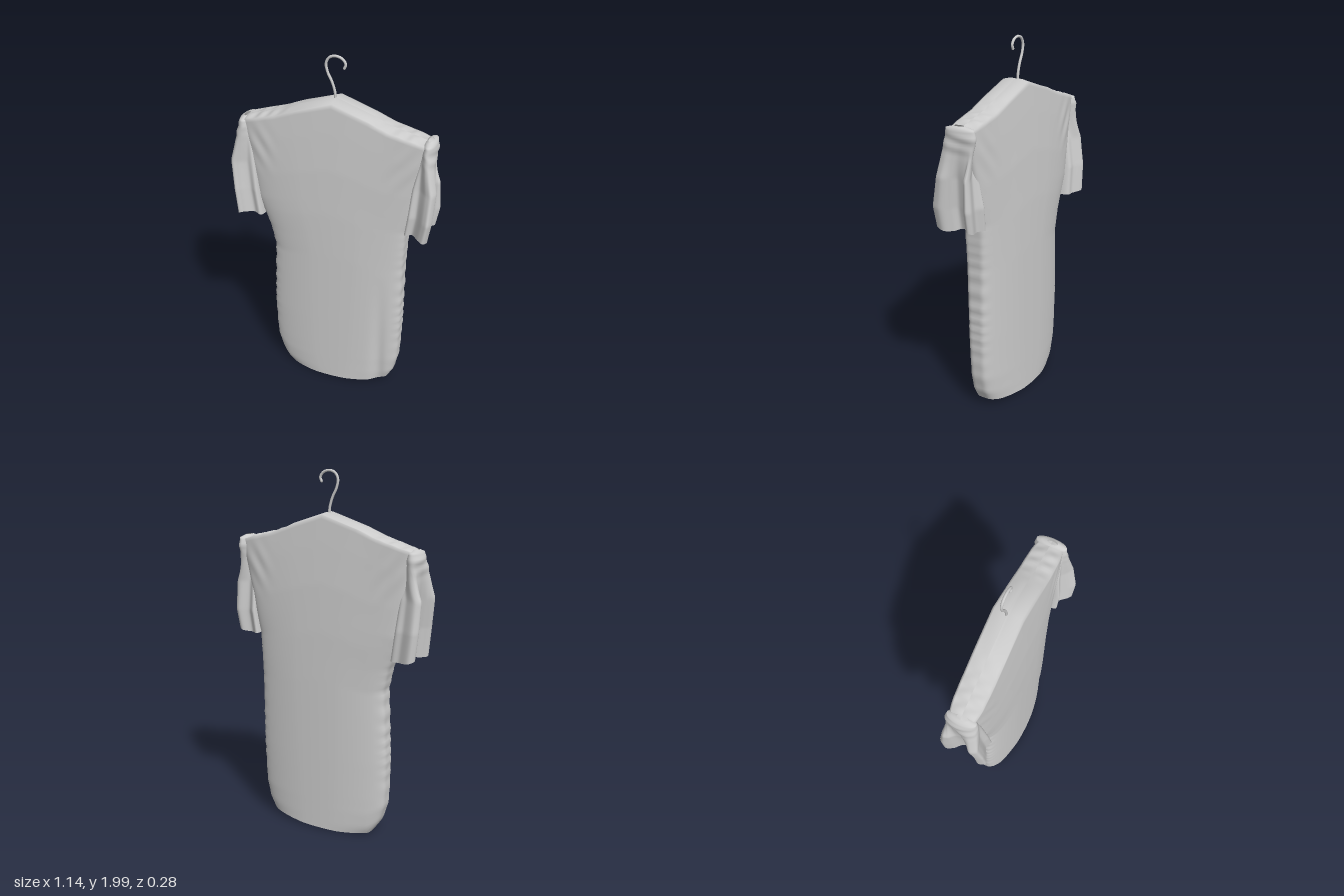
import * as THREE from 'three';

const lerp = THREE.MathUtils.lerp;
const bell = (x, mid, width) => Math.exp(-(((x - mid) / width) ** 2));

// Piecewise-linear lookup: table rows are [key, value, value...]
function look(table, k, col = 1) {
  if (k <= table[0][0]) return table[0][col];
  for (let i = 1; i < table.length; i++) {
    const a = table[i - 1], b = table[i];
    if (k <= b[0]) return lerp(a[col], b[col], (k - a[0]) / (b[0] - a[0]));
  }
  return table[table.length - 1][col];
}

// Skin closed rings, bottom to top; point(u, row) returns [x, y, z]
function loft(rows, cols, point, flip = false) {
  const pos = [], idx = [];
  for (let i = 0; i <= rows; i++) {
    for (let j = 0; j < cols; j++) pos.push(...point((flip ? cols - j : j) % cols / cols, i));
  }
  for (let i = 0; i < rows; i++) {
    for (let j = 0; j < cols; j++) {
      const a = i * cols + j, b = i * cols + (j + 1) % cols;
      idx.push(a, a + cols, b, b, a + cols, b + cols);
    }
  }
  const g = new THREE.BufferGeometry();
  g.setAttribute('position', new THREE.Float32BufferAttribute(pos, 3));
  g.setIndex(idx);
  g.computeVertexNormals();
  return g;
}

// Side outlines of the torso by height
const rightEdge = [[0, -0.28], [0.04, -0.325], [0.12, -0.355], [0.2, -0.362], [0.4, -0.366], [0.65, -0.355],
  [0.8, -0.347], [0.92, -0.37], [1.03, -0.405], [1.12, -0.435], [1.3, -0.455], [1.5, -0.485], [1.6, -0.505]];
const leftEdge = [[0, 0.35], [0.05, 0.38], [0.15, 0.402], [0.4, 0.411], [0.8, 0.409], [1.05, 0.415],
  [1.15, 0.435], [1.3, 0.46], [1.5, 0.50], [1.6, 0.52]];
// Shoulder line and hem by x
const shoulder = [[-0.52, 1.58], [-0.48, 1.605], [-0.3, 1.66], [-0.15, 1.722], [-0.1, 1.75], [-0.05, 1.764],
  [0, 1.77], [0.05, 1.765], [0.1, 1.752], [0.2, 1.705], [0.3, 1.665], [0.45, 1.63], [0.52, 1.61]];
const hem = [[-0.36, 0.06], [-0.27, 0.01], [-0.1, 0.005], [0.1, 0.012], [0.3, 0.035], [0.4, 0.06]];
// Rows: [t, depth at the side strips, extra depth at the middle]
const depth = [[0, 0.07, 0.048], [0.5, 0.072, 0.045], [0.65, 0.079, 0.035], [0.8, 0.083, 0.022], [0.92, 0.083, 0.008], [1, 0.08, 0]];

function bodyGeometry() {
  const rows = 90, cap = 8;
  return loft(rows + cap, 180, (u, i) => {
    const t = Math.min(i / rows, 1), c = Math.max(i - rows, 0) / cap;
    const h = t * 1.6, xr = look(rightEdge, h), xl = look(leftEdge, h);
    // Boxy section with rounded corners and bulging front and back
    const ang = u * Math.PI * 2, e = 2 / lerp(4.5, 7, t);
    const cs = Math.cos(ang), sn = Math.sin(ang);
    const px = Math.sign(cs) * Math.abs(cs) ** e, pz = Math.sign(sn) * Math.abs(sn) ** e;
    let x = (xl + xr) / 2 + px * (xl - xr) / 2;
    let z = -0.008 + pz * (look(depth, t, 1) + look(depth, t, 2) * (1 - px * px));
    let y = lerp(look(hem, x), look(shoulder, x), t);
    // Small puckers along the corners of the side strips
    const corner = Math.max(0, Math.abs(px) - 0.85) / 0.15;
    x -= Math.sign(px) * corner * 0.003 * (1 + Math.sin(y * 85 + 2 * Math.sin(y * 13))) * bell(t, 0.35, 0.25);
    // Long fold at the front, and faint folds fanning from the shoulders
    if (pz > 0) z -= 0.018 * bell(x, 0.3, 0.035) * Math.max(0, 1 - y / 0.8);
    const fan = bell(t, 0.9, 0.07) * bell(Math.abs(px), 0.82, 0.15);
    z += Math.sign(pz) * 0.003 * fan * Math.sin((Math.abs(x) - y * 0.7) * 60);
    // Gathered strip over the shoulders
    if (c > 0) {
      z = lerp(z, -0.01, c);
      y += 0.01 * Math.sin(c * Math.PI / 2) + 0.004 * Math.sin(c * Math.PI) * Math.sin(x * 75 + Math.sin(x * 17));
    }
    return [x, y, z];
  });
}

// Collapsed sleeve section: [outward 0..1, z], with a front and a back lobe
const section = (front, back) => [[0, 0.07], [0.35, 0.08], [0.7, front * 0.95], [0.92, front], [1, front * 0.7],
  [0.75, 0.045], [0.5, 0.015], [0.6, -0.03], [0.9, back * 0.55], [1, back * 0.8], [0.85, back], [0.4, back * 0.8], [0, -0.075]];
const loopOf = pts => new THREE.CatmullRomCurve3(pts.map(p => new THREE.Vector3(p[0], 0, p[1])), true);
// Rows: [v, height, inner x, outer x, collapse, depth scale]
const rightRows = [[0, 1.05, 0.395, 0.54, 1, 1], [0.3, 1.2, 0.415, 0.555, 1, 0.97], [0.55, 1.36, 0.43, 0.577, 0.8, 0.87],
  [0.75, 1.48, 0.44, 0.553, 0.35, 0.88], [0.88, 1.56, 0.45, 0.54, 0, 0.9], [0.96, 1.6, 0.46, 0.525, 0, 0.8], [1, 1.612, 0.48, 0.505, 0, 0.3]];
const leftRows = [[0, 1.105, 0.415, 0.545, 1, 0.95], [0.25, 1.22, 0.43, 0.565, 1, 1], [0.55, 1.38, 0.44, 0.573, 0.8, 0.87],
  [0.75, 1.5, 0.46, 0.55, 0.35, 0.9], [0.88, 1.58, 0.47, 0.543, 0, 0.95], [0.96, 1.625, 0.48, 0.538, 0, 0.85], [1, 1.638, 0.495, 0.52, 0, 0.3]];

function sleeveGeometry(side, table, front, back) {
  const rows = 50, cols = 100, loop = loopOf(section(front, back));
  return loft(rows, cols, (u, i) => {
    const v = i / rows, p = loop.getPoint(u);
    const k = look(table, v, 4), ang = Math.PI * (0.8 - 2 * u);
    // Blend from the folded cuff to a full round cap
    const a = lerp(0.5 + 0.5 * Math.cos(ang), p.x, k);
    const z = lerp(-0.01 + 0.095 * Math.sin(ang), p.z, k) * look(table, v, 5);
    const ripple = (1 - v) ** 6 * 0.012 * Math.sin(u * Math.PI * 4);
    const pucker = 0.004 * bell(v, 0.85, 0.08) * Math.sin(v * 60 + u * 9);
    const x = lerp(look(table, v, 2), look(table, v, 3), a) + pucker * a;
    return [side * x, look(table, v, 1) + ripple, z];
  }, side > 0);
}

function tube(points, radius, z) {
  const path = new THREE.CatmullRomCurve3(points.map(p => new THREE.Vector3(p[0], p[1], z)));
  return new THREE.TubeGeometry(path, 64, radius, 10);
}

export function createModel() {
  const group = new THREE.Group();
  const cloth = new THREE.MeshStandardMaterial({ color: 0xcccccc, side: THREE.DoubleSide });
  const metal = new THREE.MeshStandardMaterial({ color: 0xcccccc });
  const add = (name, geometry, material) => {
    const mesh = new THREE.Mesh(geometry, material);
    mesh.name = name;
    group.add(mesh);
  };

  add('shirtBody', bodyGeometry(), cloth);
  add('rightSleeve', sleeveGeometry(-1, rightRows, 0.112, -0.138), cloth);
  add('leftSleeve', sleeveGeometry(1, leftRows, 0.135, -0.085), cloth);

  // Hanger hook, with its tip closed by a small ball
  const hook = [[0, 1.74], [-0.002, 1.8], [-0.018, 1.855], [-0.042, 1.905], [-0.05, 1.95], [-0.034, 1.981],
    [0, 1.993], [0.036, 1.982], [0.053, 1.957], [0.046, 1.936]];
  add('hangerHook', tube(hook, 0.007, -0.014), metal);
  const tip = new THREE.SphereGeometry(0.007, 10, 8);
  tip.translate(0.046, 1.936, -0.014);
  add('hookTip', tip, metal);
  return group;
}
